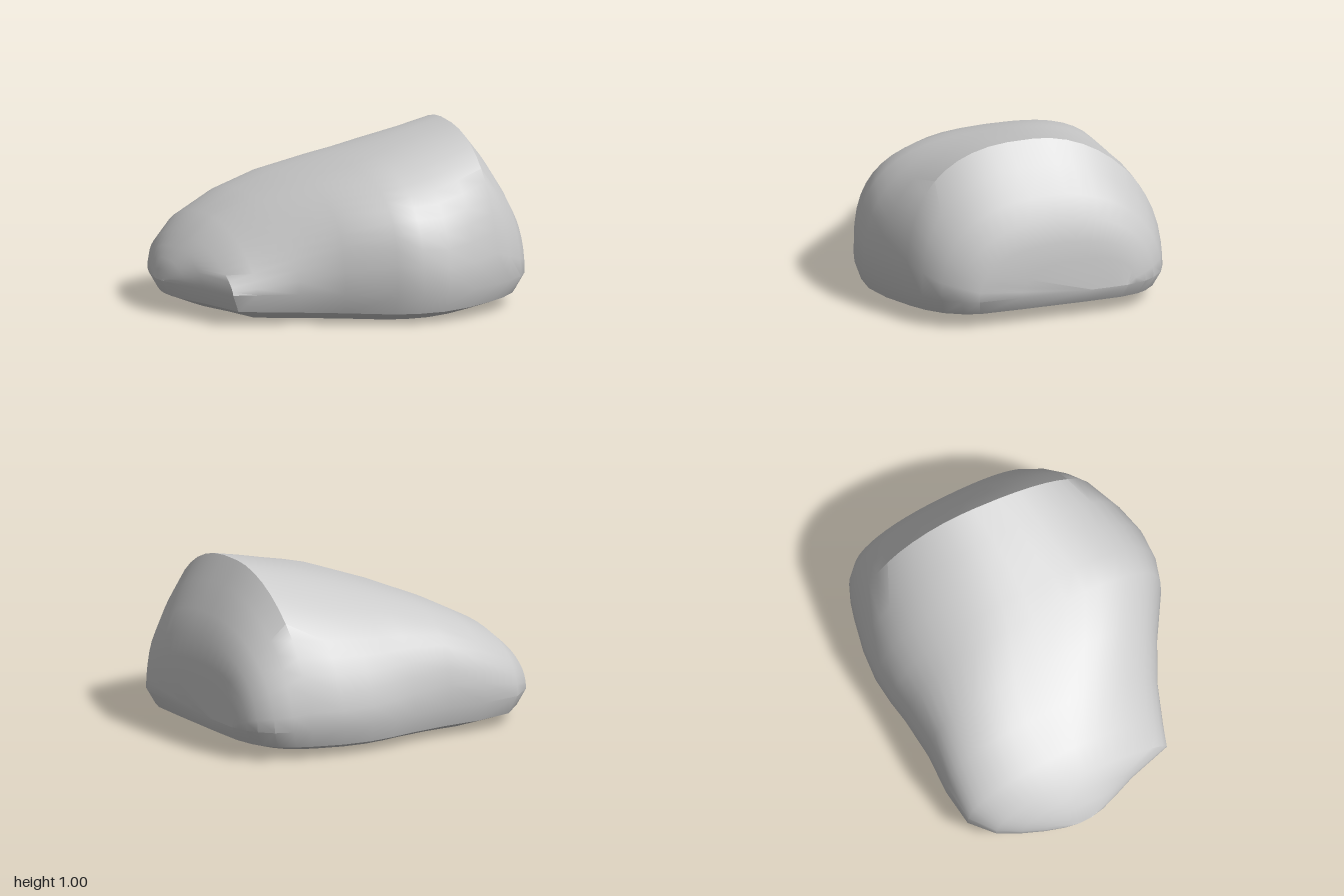
import * as THREE from 'three';
import { toCreasedNormals } from 'three/addons/utils/BufferGeometryUtils.js';

// Cross-sections along x: x, back z, front z, top y, squareness of back and front shoulder
const SECTIONS = [
  [-1.0, -0.26, -0.18, 0.175, 2, 2],
  [-0.985, -0.34, -0.1, 0.23, 2, 2],
  [-0.95, -0.45, 0.0, 0.29, 2, 2],
  [-0.9, -0.57, 0.13, 0.35, 2.1, 1.9],
  [-0.83, -0.7, 0.39, 0.425, 2.2, 1.5],
  [-0.7, -0.81, 0.435, 0.525, 2.4, 1.7],
  [-0.48, -0.83, 0.52, 0.64, 2.8, 2.2],
  [-0.25, -0.815, 0.64, 0.735, 2.9, 2.7],
  [0.0, -0.83, 0.8, 0.82, 2.45, 3],
  [0.14, -0.85, 0.845, 0.86, 2.2, 2.75],
  [0.3, -0.86, 0.855, 0.905, 2.05, 2.45],
  [0.48, -0.84, 0.81, 0.95, 1.95, 2.5],
  [0.67, -0.795, 0.725, 0.995, 1.95, 2.6],
  [0.77, -0.765, 0.67, 0.87, 1.95, 2.5],
  [0.87, -0.72, 0.59, 0.72, 2.1, 2.4],
  [0.94, -0.65, 0.49, 0.6, 2.2, 2.4],
  [0.975, -0.59, 0.4, 0.47, 2.3, 2.4],
  [0.988, -0.53, 0.15, 0.36, 2.4, 2.4],
  [1.0, -0.48, -0.25, 0.175, 2.4, 2.4],
];
const ARC = 24;
const EDGE_Y = 0.175;

// Arch of the dome from the front edge over the top to the back edge
function archPoints([x, zBack, zFront, top, nBack, nFront]) {
  const mid = (zBack + zFront) / 2, half = (zFront - zBack) / 2;
  return Array.from({ length: ARC + 1 }, (_, i) => {
    const a = (Math.PI * i) / ARC;
    const c = Math.cos(a), s = Math.max(0, Math.sin(a));
    const e = 2 / (c > 0 ? nFront : nBack);
    const z = mid + half * Math.sign(c) * Math.pow(Math.abs(c), e);
    const rise = Math.pow(s, e);
    // the ridge runs slightly askew
    const skew = -0.07 * z * rise * Math.max(0, 1 - Math.abs(x - 0.67) / 0.35);
    return [x + skew, EDGE_Y + (top - EDGE_Y) * rise, z];
  });
}

// Triangles between consecutive rows of points
function addGrid(positions, rows) {
  for (let j = 0; j < rows.length - 1; j++) {
    for (let i = 0; i < rows[j].length - 1; i++) {
      const a = rows[j][i], b = rows[j][i + 1];
      const c = rows[j + 1][i], d = rows[j + 1][i + 1];
      positions.push(...a, ...c, ...b, ...b, ...c, ...d);
    }
  }
}

function rockGeometry() {
  const positions = [];
  const arches = SECTIONS.map(archPoints);
  addGrid(positions, arches);

  // undercut rim and shallow underside: rings shrinking from the widest outline
  const front = arches.map((arch) => arch[0]);
  const back = arches.map((arch) => arch[ARC]).reverse();
  const outline = [...front, ...back, front[0]];
  const ring = (scale, y, endRise) =>
    outline.map(([x, , z]) => [x * scale, y + endRise * Math.abs(x) ** 3, z * scale]);
  addGrid(positions, [
    outline,
    ring(0.95, 0.062, 0.025),
    ring(0.8, 0.012, 0.018),
    ring(0.4, 0.003, 0.01),
    ring(0, 0, 0),
  ]);

  const geometry = new THREE.BufferGeometry();
  geometry.setAttribute('position', new THREE.Float32BufferAttribute(positions, 3));
  return toCreasedNormals(geometry, 0.62);
}

export function createModel() {
  const group = new THREE.Group();
  group.name = 'rock';
  const boulder = new THREE.Mesh(rockGeometry(), new THREE.MeshStandardMaterial({ color: 0xcccccc }));
  boulder.name = 'boulder';
  group.add(boulder);
  return group;
}
